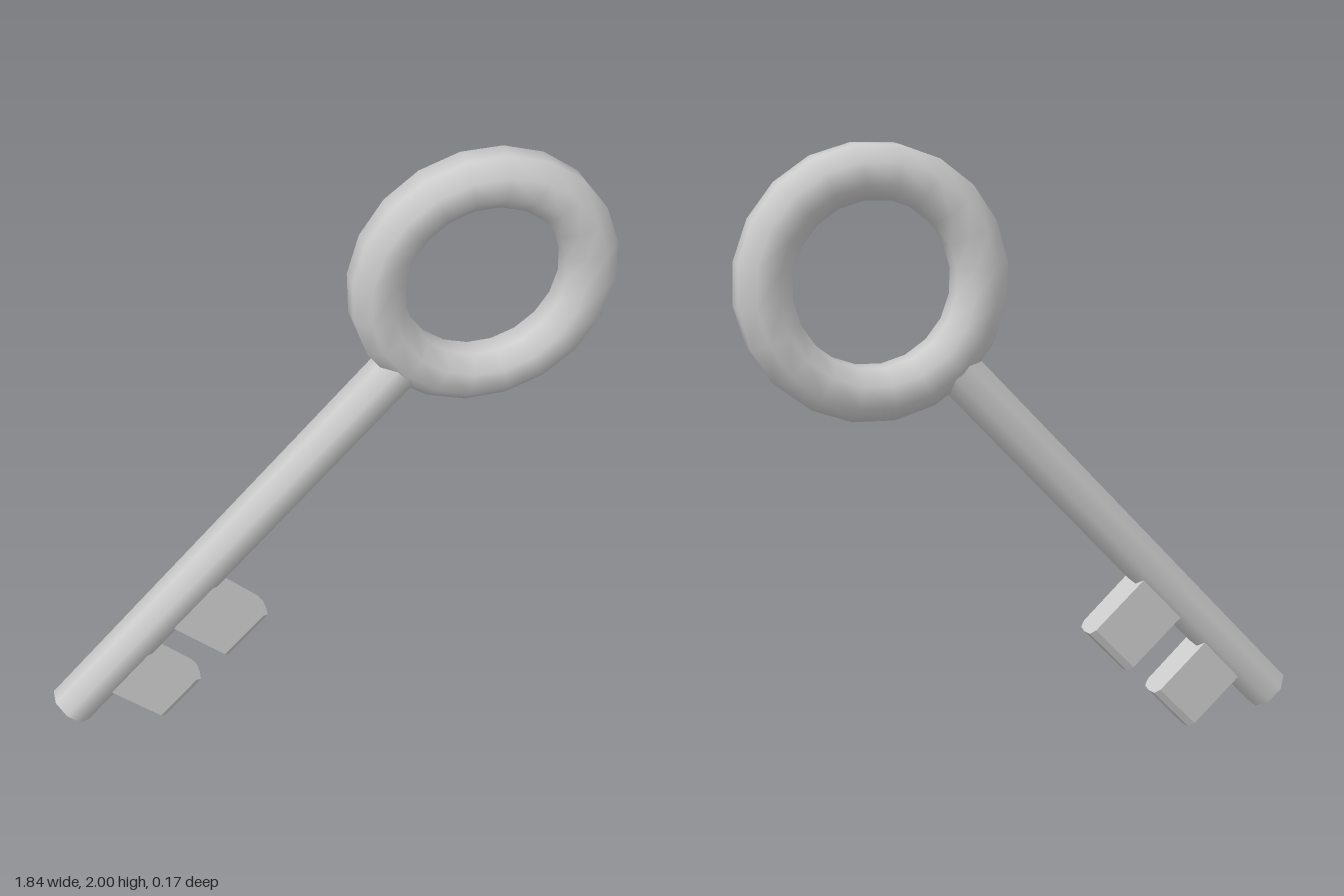
import * as THREE from 'three';
import { mergeVertices } from 'three/addons/utils/BufferGeometryUtils.js';

const material = new THREE.MeshStandardMaterial({ color: 0xcccccc });

function part(name, geometry, parent) {
  const mesh = new THREE.Mesh(geometry, material);
  mesh.name = name;
  parent.add(mesh);
  return mesh;
}

// Ring: octagonal section, flat side outward, revolved in 20 steps
function ringGeometry(radius, tube) {
  const section = [];
  for (let i = 0; i <= 8; i++) {
    const a = (i + 0.5) * Math.PI / 4;
    section.push(new THREE.Vector2(radius + tube * Math.cos(a), tube * Math.sin(a)));
  }
  const lathe = new THREE.LatheGeometry(section, 20);
  lathe.deleteAttribute('uv');
  lathe.deleteAttribute('normal');
  const geometry = mergeVertices(lathe, 1e-4);
  geometry.computeVertexNormals();
  return geometry.rotateX(Math.PI / 2);
}

// Tooth: chamfered section in (reach, thickness), extruded along the shaft
function toothGeometry(reach, length) {
  const half = [[0, 0.055], [reach - 0.027, 0.052], [reach - 0.005, 0.037], [reach, 0]];
  const mirrored = half.slice(0, -1).reverse().map(([x, z]) => [x, -z]);
  const shape = new THREE.Shape([...half, ...mirrored].map(([x, z]) => new THREE.Vector2(x, z)));
  return new THREE.ExtrudeGeometry(shape, { depth: length, bevelEnabled: false }).rotateX(-Math.PI / 2);
}

export function createModel() {
  const model = new THREE.Group();
  model.name = 'key';

  // Built upright along y, then leaned to the model's left
  const key = new THREE.Group();
  key.name = 'leaningKey';
  key.position.set(-0.873, 0.088, 0);
  key.rotation.z = THREE.MathUtils.degToRad(-42.65);
  model.add(key);

  // Bow
  part('bowRing', ringGeometry(0.338, 0.09), key).position.y = 2.027;

  // Eight-sided shaft, ending inside the ring
  const shaftLength = 1.69;
  const shaft = new THREE.CylinderGeometry(0.077, 0.077, shaftLength, 8).rotateY(Math.PI / 8);
  part('shaft', shaft, key).position.y = shaftLength / 2;

  // Teeth
  for (const [name, start, length, reach] of [
    ['lowerTooth', 0.15, 0.19, 0.29],
    ['upperTooth', 0.477, 0.2, 0.3],
  ]) {
    part(name, toothGeometry(reach, length), key).position.y = start;
  }

  return model;
}
